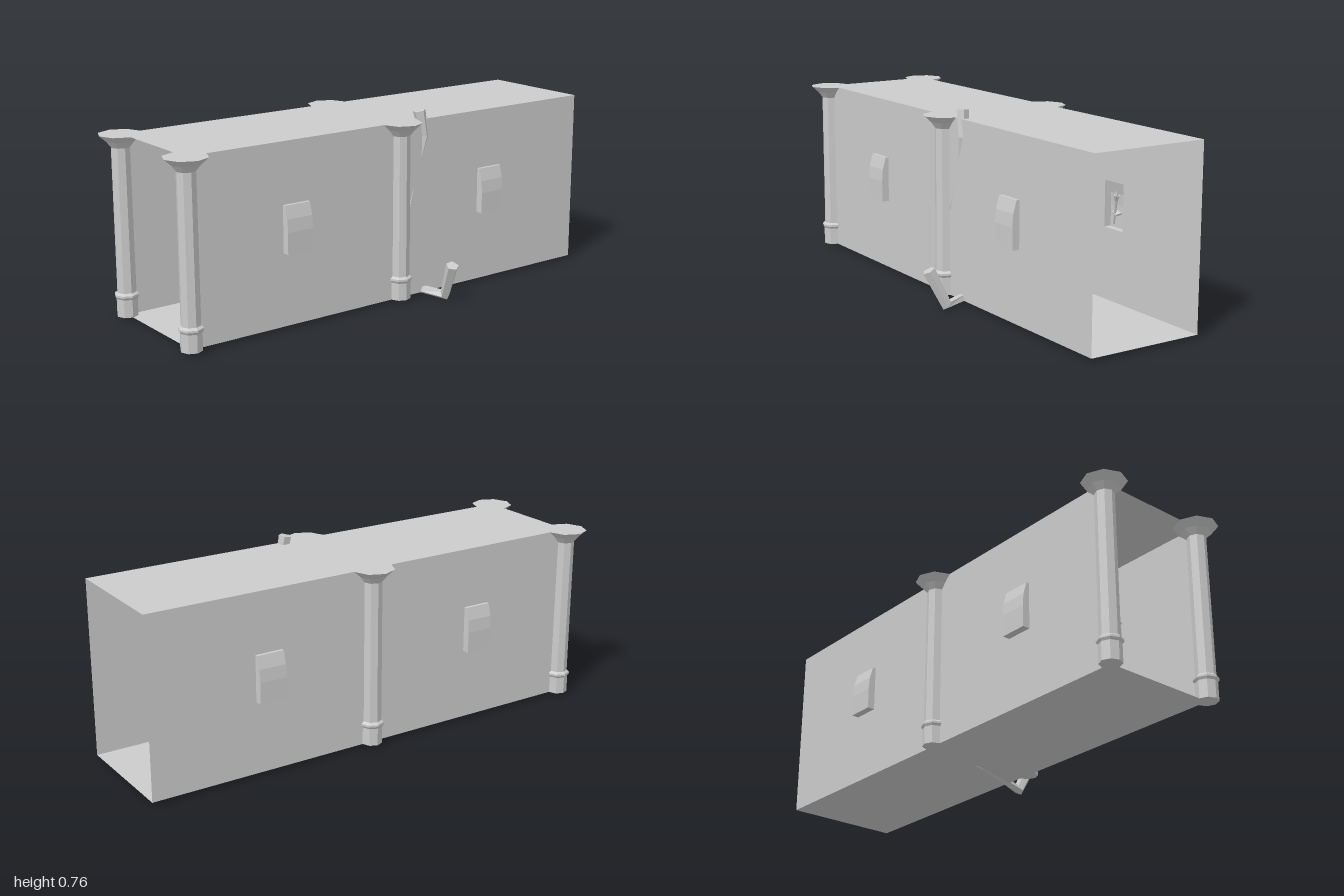
import * as THREE from 'three';

const mat = new THREE.MeshStandardMaterial({ color: 0xcccccc, flatShading: true, side: THREE.DoubleSide });
const CX = -0.046, HALF = 0.239;            // corridor centre and half width
const Y0 = 0.017, Y1 = 0.73, ZF = 0.91, ZB = -1;
const NICHE_Z = [0.45, -0.508], NICHE_W = 0.056, NY0 = 0.305, NY1 = 0.49;

function add(parent, geometry, name) {
  const mesh = new THREE.Mesh(geometry, mat);
  mesh.name = name;
  parent.add(mesh);
  return mesh;
}

// Rows of points (all of equal length) skinned with quads
function skin(rows, closed) {
  const n = rows[0].length, pos = rows.flat(2), idx = [];
  for (let i = 0; i < rows.length - 1; i++) {
    for (let j = 0; j < (closed ? n : n - 1); j++) {
      const a = i * n + j, b = i * n + (j + 1) % n;
      idx.push(a, b, a + n, b, b + n, a + n);
    }
  }
  const g = new THREE.BufferGeometry();
  g.setAttribute('position', new THREE.Float32BufferAttribute(pos, 3));
  g.setIndex(idx);
  g.computeVertexNormals();
  return g;
}

// Tapering five-sided root along [x, y, z, radius] stations
function root(stations) {
  const p = stations.map(s => new THREE.Vector3(s[0], s[1], s[2]));
  const rows = p.map((c, i) => {
    const before = p[Math.max(i - 1, 0)], after = p[Math.min(i + 1, p.length - 1)];
    const t = after.clone().sub(before).normalize();
    const u = new THREE.Vector3(0, 0, 1).cross(t).normalize();
    const v = t.clone().cross(u);
    return Array.from({ length: 5 }, (_, k) => {
      const a = k / 5 * Math.PI * 2, r = stations[i][3];
      return c.clone().addScaledVector(u, r * Math.cos(a)).addScaledVector(v, r * Math.sin(a)).toArray();
    });
  });
  // close the thick end
  rows.unshift(rows[0].map(() => p[0].toArray()));
  return skin(rows, true);
}

// Side wall with openings for the niches
function wall() {
  const s = new THREE.Shape([[ZB, Y0], [ZF, Y0], [ZF, Y1], [ZB, Y1]].map(q => new THREE.Vector2(...q)));
  for (const z of NICHE_Z) {
    s.holes.push(new THREE.Path([
      [z - NICHE_W, NY0], [z - NICHE_W, NY1], [z + NICHE_W, NY1], [z + NICHE_W, NY0]
    ].map(q => new THREE.Vector2(...q))));
  }
  return new THREE.ShapeGeometry(s).rotateY(-Math.PI / 2);
}

// Recess bulging out of the wall towards +x, holding a slanted torch
function niche() {
  const g = new THREE.Group();
  g.name = 'niche';
  const profile = [[0, NY0], [0.03, NY0], [0.031, 0.39], [0.027, 0.44], [0.013, NY1], [0, NY1]];
  add(g, skin([-NICHE_W, NICHE_W].map(z => profile.map(([x, y]) => [x, y, z])), false), 'nicheShell');
  const cheek = new THREE.Shape(profile.map(q => new THREE.Vector2(...q)));
  for (const z of [-NICHE_W, NICHE_W]) {
    add(g, new THREE.ShapeGeometry(cheek).translate(0, 0, z), 'nicheCheek');
  }
  const torch = new THREE.Group();
  torch.name = 'torch';
  add(torch, new THREE.CylinderGeometry(0.006, 0.004, 0.11, 6), 'torchHandle');
  add(torch, new THREE.CylinderGeometry(0.012, 0.006, 0.025, 6).translate(0, 0.06, 0), 'torchCup');
  add(torch, new THREE.ConeGeometry(0.009, 0.03, 5).translate(0, 0.085, 0), 'torchFlame');
  add(torch, new THREE.BoxGeometry(0.025, 0.008, 0.03).translate(0.008, -0.01, 0), 'torchBracket');
  torch.position.set(0.006, 0.375, 0);
  torch.rotation.set(-0.3, 0, 0.15);
  g.add(torch);
  return g;
}

export function createModel() {
  const model = new THREE.Group();
  model.name = 'corridor';

  // Floor and ceiling
  for (const [y, name] of [[Y0, 'floor'], [Y1, 'ceiling']]) {
    add(model, new THREE.PlaneGeometry(HALF * 2, ZF - ZB).rotateX(-Math.PI / 2), name)
      .position.set(CX, y, (ZF + ZB) / 2);
  }

  // Octagonal column: plinth, ring, shaft and flared capital
  const column = new THREE.LatheGeometry([
    [0, Y0], [0.042, Y0], [0.042, 0.088], [0.048, 0.097], [0.048, 0.105], [0.038, 0.113],
    [0.037, 0.68], [0.057, 0.705], [0.085, Y1], [0, Y1]
  ].map(q => new THREE.Vector2(...q)), 8);

  // Walls, niches and columns on both sides
  for (const s of [-1, 1]) {
    const side = s > 0 ? 'left' : 'right';
    const x = CX + s * HALF;
    add(model, wall(), side + 'Wall').position.x = x;
    for (const z of NICHE_Z) {
      const n = niche();
      n.position.set(x, 0, z);
      n.scale.x = s;
      model.add(n);
    }
    for (const z of [ZF, -0.05]) add(model, column, side + 'Column').position.set(x, 0, z);
  }

  // Roots breaking through the floor edge and the ceiling edge
  add(model, root([
    [0.35, 0.163, -0.188, 0.026], [0.284, 0.021, -0.208, 0.022], [0.19, 0.026, -0.175, 0.017],
    [0.1, 0.024, -0.14, 0.013], [-0.03, 0.015, -0.1, 0.001]
  ]), 'floorRoot');
  add(model, root([
    [0.176, 0.762, -0.155, 0.026], [0.183, 0.66, -0.172, 0.021], [0.176, 0.55, -0.15, 0.014],
    [0.185, 0.45, -0.115, 0.009], [0.196, 0.36, -0.09, 0.001]
  ]), 'ceilingRoot');

  return model;
}
